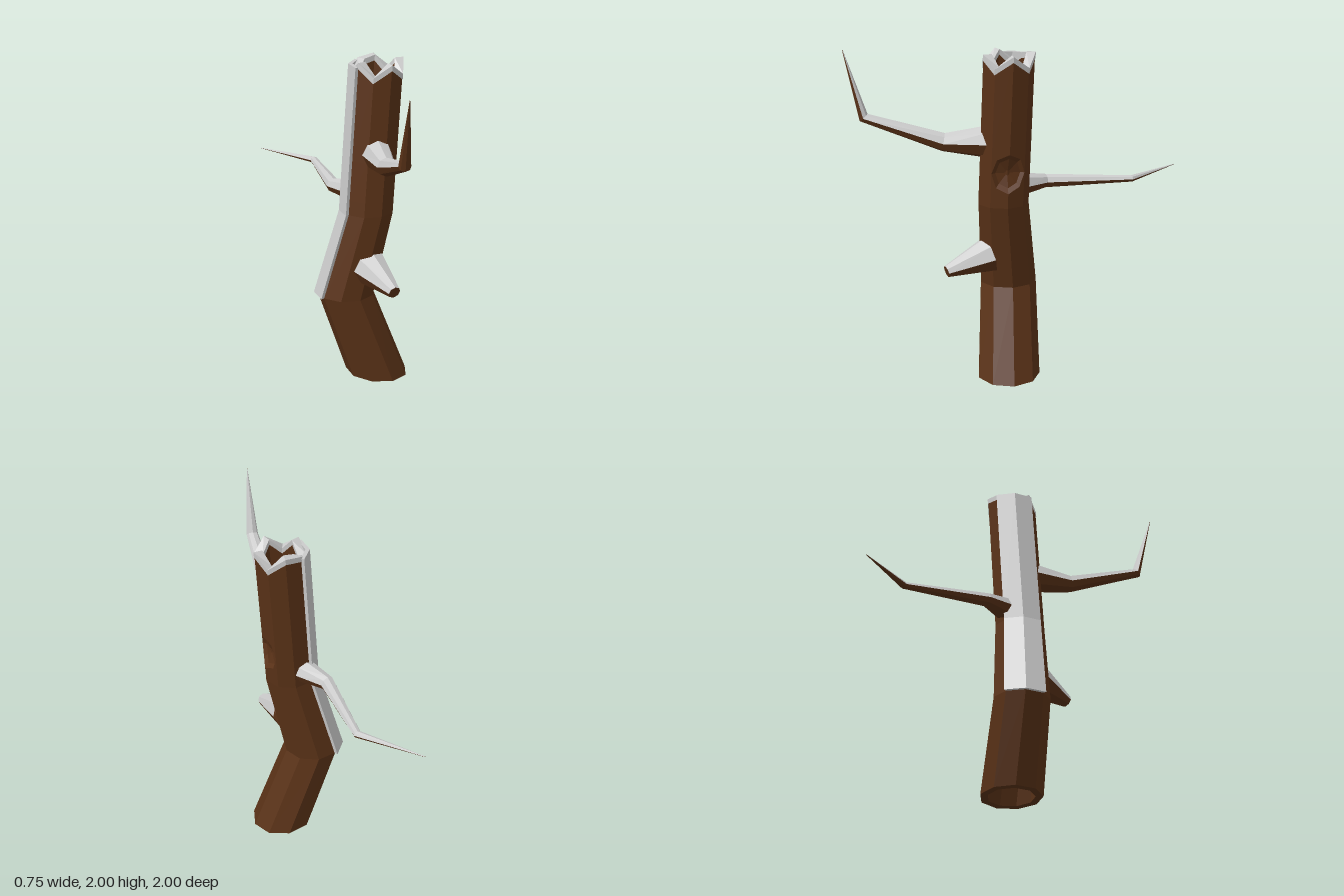
import * as THREE from 'three';

const SIDES = 9;
const V = (x, y, z) => new THREE.Vector3(x, y, z);
const bark = new THREE.MeshStandardMaterial({ color: 0x5a3217, flatShading: true, side: THREE.DoubleSide });
const snow = new THREE.MeshStandardMaterial({ color: 0xcccccc, flatShading: true, side: THREE.DoubleSide });

// Collects flat triangles and quads, then turns them into a named mesh
function builder() {
  const pts = [];
  const tri = (a, b, c) => pts.push(a, b, c);
  const quad = (a, b, c, d) => { tri(a, b, c); tri(a, c, d); };
  const mesh = (name, material) => {
    const g = new THREE.BufferGeometry().setFromPoints(pts);
    g.computeVertexNormals();
    const m = new THREE.Mesh(g, material);
    m.name = name;
    return m;
  };
  return { tri, quad, mesh };
}

// Trunk stations: y, centre x, centre z, radius
const stations = [
  [0.012, 0.185, 0.05, 0.19],
  [0.55, -0.01, 0.05, 0.172],
  [1.08, 0.12, 0.08, 0.153],
  [1.95, 0.18, 0.047, 0.152],
];

// Point on the trunk at corner i and height y, moved outwards by off
function trunkPoint(i, y, off = 0) {
  let s = 0;
  while (s < 2 && y > stations[s + 1][0]) s++;
  const [a, b] = [stations[s], stations[s + 1]];
  const t = (y - a[0]) / (b[0] - a[0]);
  const [cx, cz, r] = [1, 2, 3].map((k) => a[k] + (b[k] - a[k]) * t);
  const ang = THREE.MathUtils.degToRad(-10 + (360 / SIDES) * i);
  return V(cx + (r + off) * Math.cos(ang), y, cz + (r + off) * Math.sin(ang));
}

// Jagged broken top, and a slightly sloping base
const jag = [1.985, 1.91, 1.98, 1.91, 1.985, 1.92, 1.97, 1.985, 1.91];
const topY = (i) => jag[i % SIDES];
function basePoint(i, off) {
  const p = trunkPoint(i, 0.012, off);
  p.y = Math.max(0, 0.012 - 0.065 * (p.x - 0.185));
  return p;
}

const HOLE_LOW = 1.17, HOLE_MID = 1.29, HOLE_TOP = 1.41;
const WALL = -0.046;

function makeTrunk() {
  const b = builder();
  const levels = [0, 0.55, 1.08, HOLE_LOW, HOLE_TOP, 2];
  const at = (i, k, off) => k === 0 ? basePoint(i, off)
    : trunkPoint(i, k === levels.length - 1 ? topY(i) : levels[k], off);
  for (let i = 0; i < SIDES; i++) {
    for (let k = 0; k < levels.length - 1; k++) {
      const beside = i === 0 || i === SIDES - 1;
      if (!(beside && k === 3)) b.quad(at(i + 1, k, 0), at(i, k, 0), at(i, k + 1, 0), at(i + 1, k + 1, 0));
      // hollow inside
      b.quad(at(i, k, WALL), at(i + 1, k, WALL), at(i + 1, k + 1, WALL), at(i, k + 1, WALL));
    }
    b.quad(at(i, 0, 0), at(i + 1, 0, 0), at(i + 1, 0, WALL), at(i, 0, WALL));
  }
  return b.mesh('trunk', bark);
}

// Oval knot hole filling the gap left in two facets of the trunk
function makeKnotHole() {
  const b = builder();
  const surf = (u, v) => {
    const y = HOLE_MID + v * (HOLE_TOP - HOLE_MID);
    return trunkPoint(0, y).lerp(trunkPoint(Math.sign(u), y), Math.abs(u));
  };
  const n = 8;
  const oval = [], corner = [];
  const centre = V(0.235, HOLE_MID, 0.055);
  for (let k = 0; k < n; k++) {
    const a = (k / n) * Math.PI * 2;
    oval.push(surf(Math.cos(a), Math.sin(a)));
    corner.push(surf(Math.sign(Math.round(Math.cos(a) * 9)), Math.sign(Math.round(Math.sin(a) * 9))));
  }
  const inner = oval.map((p) => p.clone().lerp(centre, 0.25).add(V(-0.012, 0, 0)));
  for (let k = 0; k < n; k++) {
    const j = (k + 1) % n;
    // surround, sloping lip and sunken floor
    if (k % 2) b.tri(oval[k], oval[j], corner[k]);
    else b.tri(oval[k], oval[j], corner[j]);
    b.quad(oval[k], inner[k], inner[j], oval[j]);
    b.tri(inner[k], centre, inner[j]);
  }
  return b.mesh('knotHole', bark);
}

// Snow lying on the jagged rim
function makeRimSnow() {
  const b = builder();
  const profile = (i) => [[-0.028, 0.004], [0.006, 0.004], [0.006, WALL - 0.004], [-0.028, WALL - 0.004]]
    .map(([dy, off]) => trunkPoint(i, topY(i) + dy, off));
  for (let i = 0; i < SIDES; i++) {
    const p = profile(i), q = profile(i + 1);
    for (let k = 0; k < 3; k++) b.quad(q[k], p[k], p[k + 1], q[k + 1]);
  }
  return b.mesh('rimSnow', snow);
}

// Thick strip of snow down two facets of the trunk
function makeTrunkSnow() {
  const b = builder();
  const ring = (y) => [
    ...[4, 5, 6].map((i) => trunkPoint(i, y, 0.022)),
    ...[6, 5, 4].map((i) => trunkPoint(i, y, -0.003)),
  ];
  const rings = [0.55, 1.08, 1.965].map(ring);
  for (let s = 0; s < 2; s++) {
    const [p, q] = [rings[s], rings[s + 1]];
    for (let k = 0; k < 6; k++) {
      const j = (k + 1) % 6;
      b.quad(p[j], p[k], q[k], q[j]);
    }
  }
  for (const k of [0, 1]) {
    const [p, q] = [rings[0], rings[2]];
    b.quad(p[k], p[k + 1], p[4 - k], p[5 - k]);
    b.quad(q[k + 1], q[k], q[5 - k], q[4 - k]);
  }
  return b.mesh('trunkSnow', snow);
}

// Tapering branch, snowy above and bark below; sections are x, y, z, half width, half height
function makeBranch(name, sections) {
  const n = 8;
  const wood = builder(), white = builder();
  const c = sections.map((s) => V(s[0], s[1], s[2]));
  const dir = (k) => c[k + 1].clone().sub(c[k]).normalize();
  const rings = sections.map((s, k) => {
    const t = V(0, 0, 0);
    if (k > 0) t.add(dir(k - 1));
    if (k < c.length - 1) t.add(dir(k));
    t.normalize();
    const side = t.clone().cross(V(0, 1, 0)).normalize();
    const up = side.clone().cross(t);
    return Array.from({ length: n }, (_, i) => {
      const a = (i / n) * Math.PI * 2;
      return c[k].clone().addScaledVector(side, s[3] * Math.cos(a)).addScaledVector(up, s[4] * Math.sin(a));
    });
  });
  for (let k = 0; k < rings.length - 1; k++) {
    for (let i = 0; i < n; i++) {
      const j = (i + 1) % n;
      (i < n / 2 ? white : wood).quad(rings[k][i], rings[k + 1][i], rings[k + 1][j], rings[k][j]);
    }
  }
  const end = rings[rings.length - 1];
  for (let i = 0; i < n; i++) wood.tri(c[c.length - 1], end[(i + 1) % n], end[i]);
  const group = new THREE.Group();
  group.name = name;
  group.add(wood.mesh(name + 'Bark', bark), white.mesh(name + 'Snow', snow));
  return group;
}

export function createModel() {
  const tree = new THREE.Group();
  tree.name = 'deadTree';
  tree.add(makeTrunk(), makeKnotHole(), makeRimSnow(), makeTrunkSnow());
  tree.add(
    makeBranch('frontBranch', [
      [0.15, 1.455, 0.17, 0.09, 0.097],
      [0.155, 1.455, 0.425, 0.055, 0.055],
      [0.155, 1.605, 0.885, 0.036, 0.032],
      [0.153, 2, 0.995, 0.002, 0.002],
    ]),
    makeBranch('backBranch', [
      [0.06, 1.17, -0.03, 0.075, 0.07],
      [-0.045, 1.16, -0.18, 0.045, 0.042],
      [-0.078, 1.16, -0.7, 0.025, 0.02],
      [-0.38, 1.165, -0.997, 0.002, 0.002],
    ]),
    makeBranch('brokenStump', [
      [0.11, 0.745, 0.165, 0.115, 0.11],
      [0.212, 0.675, 0.415, 0.04, 0.036],
    ]),
  );
  return tree;
}
